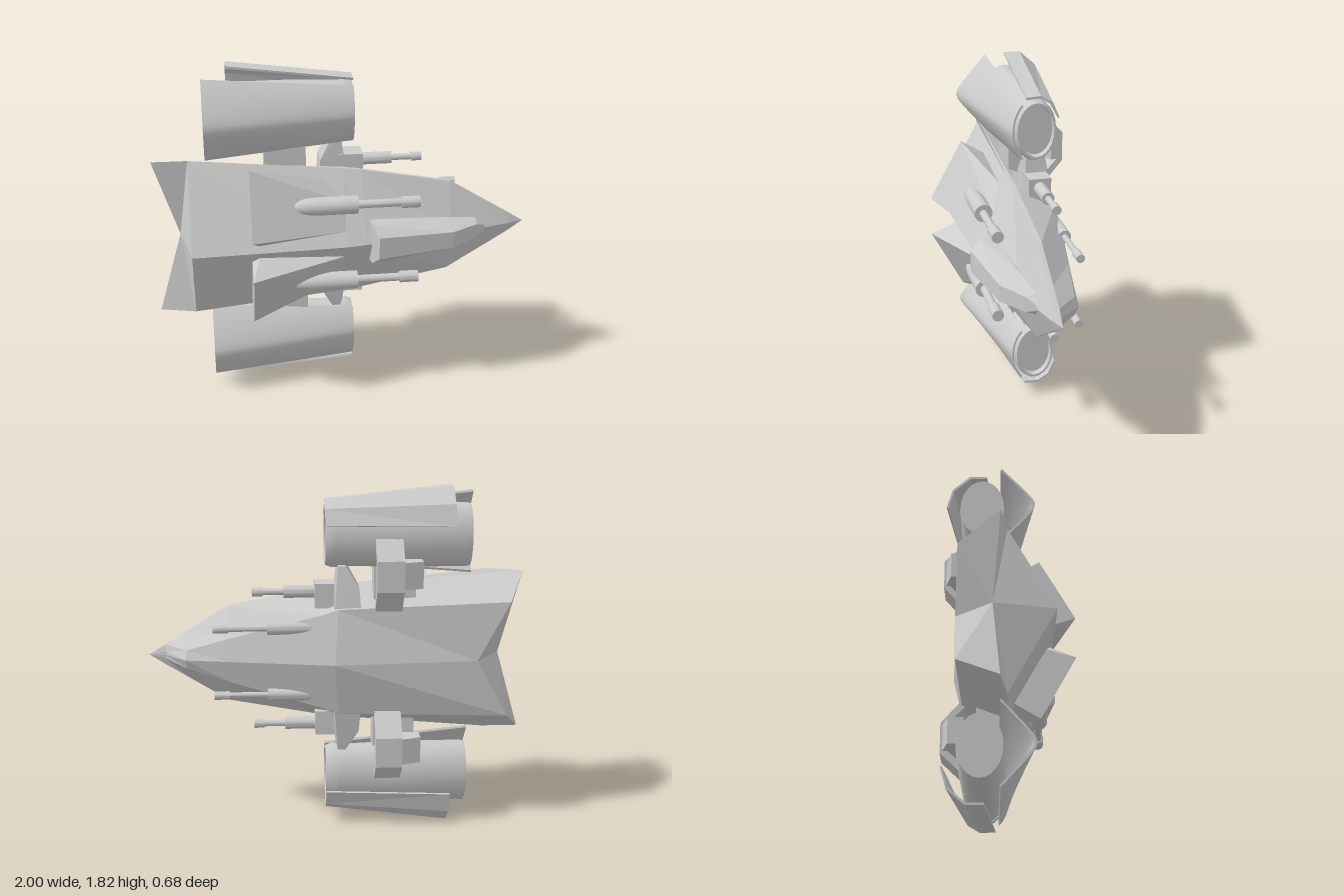
import * as THREE from 'three';
import { toCreasedNormals } from 'three/addons/utils/BufferGeometryUtils.js';
import { ConvexGeometry } from 'three/addons/geometries/ConvexGeometry.js';

const flat = new THREE.MeshStandardMaterial({ color: 0xcccccc, flatShading: true });
const smooth = new THREE.MeshStandardMaterial({ color: 0xcccccc });

// Solid skinned over rings of [x, y, z] points, capped at both ends, facing outwards
function loft(rings) {
  const tris = [];
  const n = rings[0].length;
  for (let k = 0; k < rings.length - 1; k++) {
    for (let i = 0; i < n; i++) {
      const j = (i + 1) % n, a = rings[k], b = rings[k + 1];
      tris.push([a[i], b[i], a[j]], [a[j], b[i], b[j]]);
    }
  }
  for (const [ring, first] of [[rings[0], true], [rings[rings.length - 1], false]]) {
    const mid = [0, 1, 2].map((c) => ring.reduce((sum, p) => sum + p[c], 0) / n);
    for (let i = 0; i < n; i++) {
      const j = (i + 1) % n;
      tris.push(first ? [mid, ring[i], ring[j]] : [mid, ring[j], ring[i]]);
    }
  }
  const v = (p) => new THREE.Vector3(...p);
  const volume = tris.reduce((s, [a, b, c]) => s + v(a).dot(v(b).cross(v(c))), 0);
  if (volume < 0) tris.forEach((t) => t.reverse());
  const geo = new THREE.BufferGeometry();
  geo.setAttribute('position', new THREE.Float32BufferAttribute(tris.flat(2), 3));
  geo.computeVertexNormals();
  return geo;
}

const convex = (pts) => new ConvexGeometry(pts.map((p) => new THREE.Vector3(...p)));

// Turned part along x from [radius, x] points
function turned(profile, y, z, sz = 1) {
  const geo = new THREE.LatheGeometry(profile.map((p) => new THREE.Vector2(...p)), 24);
  geo.rotateZ(-Math.PI / 2);
  geo.scale(1, 1, sz);
  geo.translate(0, y, z);
  return toCreasedNormals(geo, 0.6);
}

// Copy on the other side of the centre plane
function mirrored(geo) {
  const g = geo.index ? geo.toNonIndexed() : geo.clone();
  g.scale(1, -1, 1);
  for (const attr of Object.values(g.attributes)) {
    const { array: a, itemSize: n } = attr;
    for (let i = 0; i < a.length; i += 3 * n) {
      for (let c = 0; c < n; c++) {
        [a[i + n + c], a[i + 2 * n + c]] = [a[i + 2 * n + c], a[i + n + c]];
      }
    }
  }
  return g;
}

export function createModel() {
  const model = new THREE.Group();
  model.name = 'speeder';
  model.position.y = 0.91;
  const add = (name, geo, mat = flat) => {
    const mesh = new THREE.Mesh(geo, mat);
    mesh.name = name;
    model.add(mesh);
  };
  const pair = (name, geo, mat) => {
    add(name + 'Upper', geo, mat);
    add(name + 'Lower', mirrored(geo), mat);
  };

  // Hull: ridge, deck rim, belly rim, belly corner and keel at each station
  const hullRing = (ridge, rim, rim2, corner, keel) => {
    const flip = ([x, y, z]) => [x, -y, z];
    return [ridge, rim, rim2, corner, keel, flip(corner), flip(rim2), flip(rim)];
  };
  add('hull', loft([
    hullRing([-0.81, 0, 0.24], [-0.81, 0.445, 0], [-1, 0.435, -0.03], [-0.9, 0.31, -0.24], [-0.73, 0, -0.255]),
    hullRing([0, 0, 0.21], [0, 0.365, 0], [0, 0.365, -0.02], [0, 0.28, -0.235], [0.02, 0, -0.3]),
    hullRing([0.1, 0, 0.194], [0.1, 0.35, 0], [0.1, 0.35, -0.02], [0.09, 0.25, -0.225], [0.1, 0, -0.285]),
    hullRing([0.58, 0, 0.1], [0.58, 0.26, 0], [0.58, 0.26, -0.02], [0.56, 0.12, -0.165], [0.58, 0, -0.19]),
    hullRing([0.8, 0, 0.05], [0.8, 0.124, 0], [0.8, 0.124, -0.02], [0.79, 0.05, -0.13], [0.8, 0, -0.15]),
    hullRing([0.91, 0, 0.02], [0.91, 0.056, 0], [0.91, 0.056, -0.02], [0.91, 0.02, -0.03], [0.91, 0, -0.032]),
    hullRing(...Array(5).fill([1, 0, -0.012])),
  ]));

  // Canopy
  const canopy = [];
  for (const s of [1, -1]) {
    canopy.push([0.13, 0.115 * s, 0.12], [0.135, 0.112 * s, 0.19], [0.165, 0.06 * s, 0.25], [0.57, 0.045 * s, 0.19],
      [0.57, 0.08 * s, 0.07], [0.72, 0.06 * s, 0.04], [0.72, 0.04 * s, 0.095], [0.77, 0.015 * s, 0.055]);
  }
  add('canopy', convex(canopy));

  // Raised wedges on the deck
  pair('deckWedge', convex([
    [-0.5, 0.44, 0.16], [-0.5, 0.11, 0.34], [-0.46, 0.03, 0.2], [-0.5, 0.36, 0.03], [-0.5, 0.06, 0.18],
    [0.02, 0.07, 0.16], [0.02, 0.2, 0.09], [-0.05, 0.3, 0.01], [0.02, 0.1, 0.1],
  ]));

  // Guns: bullet housing, barrel and muzzle
  const gun = (tail, body, neck, tip, r) => [
    [0, tail], [r * 0.6, tail + 0.03], [r * 0.88, tail + 0.09], [r, tail + 0.17], [r, body],
    [r * 0.45, body], [r * 0.45, neck], [r * 0.65, neck], [r * 0.65, tip], [0, tip],
  ];
  pair('deckGun', turned(gun(-0.32, 0.06, 0.29, 0.39, 0.048), 0.22, 0.155), smooth);
  pair('bellyGun', turned(gun(0, 0.37, 0.57, 0.65, 0.034), 0.18, -0.2), smooth);
  pair('strutGun', turned([
    [0, 0.08], [0.033, 0.08], [0.033, 0.28], [0.017, 0.28], [0.017, 0.39], [0.024, 0.39], [0.024, 0.445], [0, 0.445],
  ], 0.36, -0.135), smooth);

  // Front struts carrying the gun blocks
  pair('frontStrut', convex([
    [-0.12, 0.26, -0.07], [0.02, 0.26, -0.07], [-0.12, 0.25, -0.23], [0.02, 0.25, -0.23], [-0.11, 0.39, -0.07],
    [-0.11, 0.39, -0.21], [0.02, 0.39, -0.08], [0.02, 0.39, -0.2],
    [-0.04, 0.52, -0.09], [0, 0.52, -0.09], [-0.04, 0.5, -0.19], [0, 0.5, -0.19],
  ]));
  const block = new THREE.BoxGeometry(0.16, 0.13, 0.12);
  block.translate(0.04, 0.345, -0.135);
  pair('gunBlock', block);

  // Rear pylons
  const pylon = new THREE.BoxGeometry(0.22, 0.24, 0.12);
  pylon.translate(-0.3, 0.4, -0.1);
  pair('rearPylon', pylon);

  // Pack held inside the bent arm, sloping off to the rear
  const pack = [];
  for (const y of [0.4, 0.54]) {
    pack.push([-0.43, y, -0.22], [-0.43, y, -0.3], [-0.33, y, -0.33], [-0.19, y, -0.33], [-0.19, y, -0.28], [-0.3, y, -0.21]);
  }
  pair('armPack', convex(pack));

  // Bent arm from the belly to the engine: [y, z] outside and inside
  pair('bentArm', loft([
    [0.66, -0.23, 0.64, -0.19], [0.55, -0.342, 0.535, -0.31], [0.39, -0.342, 0.4, -0.31], [0.27, -0.24, 0.28, -0.2],
  ].map(([y, z, y2, z2]) => [[-0.33, y, z], [-0.19, y, z], [-0.19, y2, z2], [-0.33, y2, z2]])));

  // Oval engine with a recessed intake
  const EY = 0.65, EZ = -0.13;
  pair('engine', turned([
    [0, -0.69], [0.163, -0.69], [0.167, -0.67], [0.167, -0.3], [0.157, 0], [0.165, 0], [0.165, 0.03],
    [0.152, 0.065], [0.138, 0.065], [0.132, 0.035], [0, 0.035],
  ], EY, EZ, 0.68), smooth);

  // Thin plates spanning a rear and a front profile of [y, z] about the engine axis
  const plate = (x0, x1, stations) => loft(stations.map(([y0, z0, y1, z1]) => {
    const at = (x, y, z, k) => [x, EY + y * k, EZ + (z - EZ) * k];
    return [at(x0, y0, z0, 1), at(x1, y1, z1, 1), at(x1, y1, z1, 0.93), at(x0, y0, z0, 0.95)];
  }));

  // Cowl: peaked at the rear, rounded at the front
  const cowl = [];
  for (let i = 0; i <= 20; i++) {
    const t = i / 10 - 1;
    cowl.push([0.22 * t, 0.171 - 0.2 * Math.sqrt(t * t + 0.025), 0.15 * t, EZ + 0.13 * Math.sqrt(1 - 0.64 * t * t)]);
  }
  pair('engineCowl', toCreasedNormals(plate(-0.72, 0.065, cowl), 1), smooth);

  // Outer engine guard
  pair('engineGuard', plate(-0.59, 0.065, [
    [0.26, -0.11, 0.185, -0.07], [0.26, -0.2, 0.19, -0.15], [0.18, -0.29, 0.15, -0.215], [0.07, -0.32, 0.07, -0.25],
  ]));

  return model;
}
